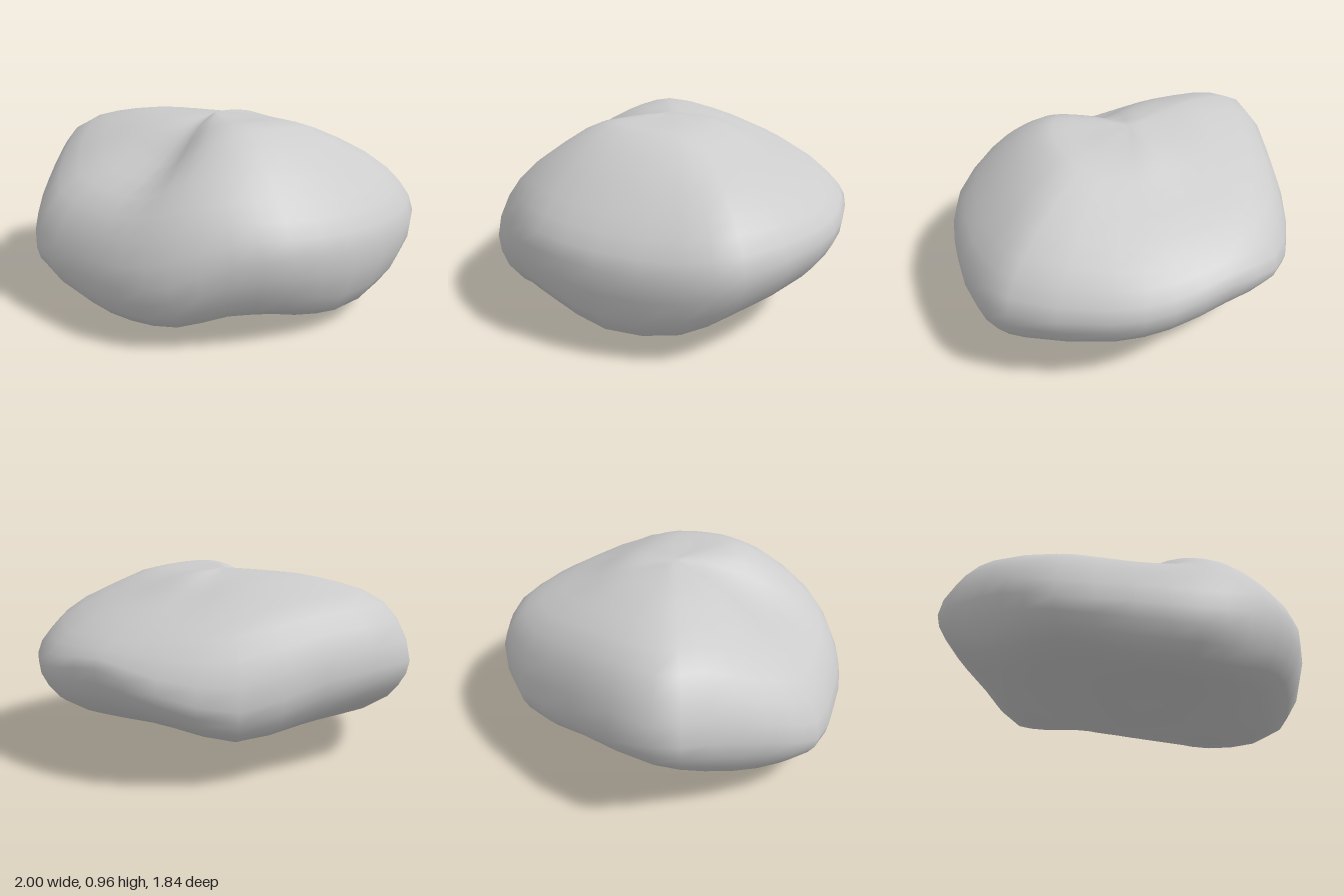
import * as THREE from 'three';
import { mergeVertices } from 'three/addons/utils/BufferGeometryUtils.js';

// One row per direction around the boulder:
// rim x, rim z, rim height, upper shoulder, upper middle, lower shoulder, lower middle heights
const ROWS = [
  [1.00, -0.19, 0.44, 0.66, 0.91, 0.14, 0.01],
  [0.95, -0.45, 0.47, 0.69, 0.88, 0.24, 0.06],
  [0.60, -0.78, 0.49, 0.66, 0.83, 0.29, 0.13],
  [0.34, -0.89, 0.51, 0.66, 0.82, 0.32, 0.16],
  [0.04, -0.92, 0.55, 0.67, 0.82, 0.35, 0.18],
  [-0.28, -0.87, 0.47, 0.67, 0.82, 0.32, 0.18],
  [-0.57, -0.65, 0.39, 0.70, 0.86, 0.23, 0.16],
  [-0.80, -0.28, 0.49, 0.77, 0.90, 0.30, 0.15],
  [-1.00, 0.17, 0.53, 0.80, 0.92, 0.35, 0.15],
  [-0.87, 0.40, 0.49, 0.78, 0.90, 0.26, 0.12],
  [-0.70, 0.65, 0.42, 0.68, 0.86, 0.20, 0.10],
  [-0.49, 0.85, 0.32, 0.60, 0.80, 0.17, 0.08],
  [-0.15, 0.91, 0.30, 0.58, 0.75, 0.11, 0.08],
  [0.15, 0.92, 0.30, 0.59, 0.76, 0.10, 0.07],
  [0.40, 0.85, 0.35, 0.65, 0.87, 0.11, 0.06],
  [0.61, 0.70, 0.45, 0.69, 0.93, 0.17, 0.06],
  [0.80, 0.51, 0.47, 0.68, 0.94, 0.18, 0.04],
  [0.94, 0.20, 0.45, 0.66, 0.93, 0.11, 0.00],
];
const AROUND = 36, DOWN = 24, TOP = 0.945, BOTTOM = 0.05;

// Closed control loop at a fraction of the rim radius
const makeLoop = (scale, heightOf) => new THREE.CatmullRomCurve3(
  ROWS.map((r, i) => new THREE.Vector3(r[0] * scale, heightOf(r, i), r[1] * scale)), true);

// Inner loop height: tilt and curvature carried smoothly across the pole
const rounded = (col, pole) => (r, i) => {
  const opposite = ROWS[(i + ROWS.length / 2) % ROWS.length];
  const tilt = (r[col] - opposite[col]) / 2;
  const curve = (r[col] + opposite[col]) / 2 - pole;
  return pole + tilt * 0.5 + curve * 0.25;
};

export function createModel() {
  const loops = [
    makeLoop(0.25, rounded(4, TOP)),
    makeLoop(0.5, r => r[4]),
    makeLoop(0.86, r => r[3]),
    makeLoop(1, r => r[2]),
    makeLoop(0.9, r => r[5]),
    makeLoop(0.5, r => r[6]),
    makeLoop(0.25, rounded(6, BOTTOM)),
  ];

  // Smooth meridians from the top to the underside
  const top = new THREE.Vector3(0, TOP, 0), bottom = new THREE.Vector3(0, BOTTOM, 0);
  const positions = [], index = [];
  for (let i = 0; i < AROUND; i++) {
    const meridian = new THREE.CatmullRomCurve3(
      [top, ...loops.map(loop => loop.getPoint(i / AROUND)), bottom]);
    for (let j = 0; j <= DOWN; j++) positions.push(...meridian.getPoint(j / DOWN).toArray());
  }

  // Skin between neighbouring meridians, closed with fans at both poles
  const at = (i, j) => (i % AROUND) * (DOWN + 1) + j;
  for (let i = 0; i < AROUND; i++) {
    for (let j = 0; j < DOWN; j++) {
      const a = at(i, j), b = at(i + 1, j), c = at(i, j + 1), d = at(i + 1, j + 1);
      if (j > 0) index.push(a, c, b);
      if (j < DOWN - 1) index.push(b, c, d);
    }
  }
  let geometry = new THREE.BufferGeometry();
  geometry.setAttribute('position', new THREE.Float32BufferAttribute(positions, 3));
  geometry.setIndex(index);
  geometry = mergeVertices(geometry);
  geometry.computeVertexNormals();

  const boulder = new THREE.Mesh(geometry, new THREE.MeshStandardMaterial({ color: 0xcccccc }));
  boulder.name = 'boulder';
  const group = new THREE.Group();
  group.name = 'rock';
  group.add(boulder);
  return group;
}
